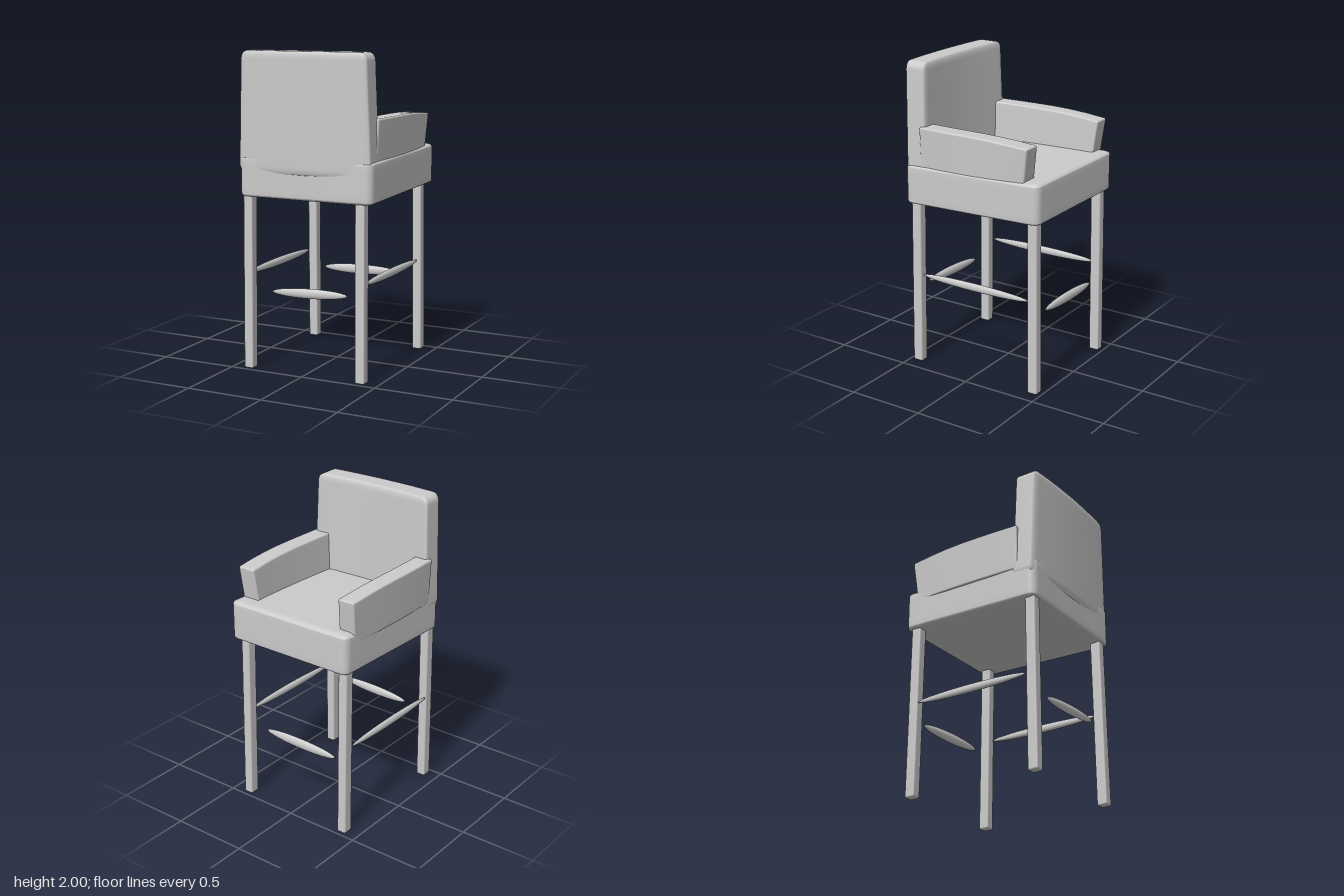
import * as THREE from 'three';
import { mergeVertices } from 'three/addons/utils/BufferGeometryUtils.js';

const material = new THREE.MeshStandardMaterial({ color: 0xcccccc });

// Soft block: [w,h,d] size, [rx,ry,rz] edge rounding, optional warp(p) bending its vertices
function softBlock(name, size, radii, center, warp) {
  const geo = new THREE.BoxGeometry(2, 2, 2, 12, 12, 12);
  geo.deleteAttribute('uv');
  geo.deleteAttribute('normal');
  const pos = geo.attributes.position;
  const p = new THREE.Vector3();
  const off = new THREE.Vector3();
  for (let i = 0; i < pos.count; i++) {
    p.fromBufferAttribute(pos, i);
    const c = p.toArray();
    // the outer half of the grid becomes the rounded edge, the inner half the flat face
    off.fromArray(c.map((t) => Math.sign(t) * Math.max(0, Math.abs(t) - 0.5) * 2)).normalize();
    const o = off.toArray();
    p.fromArray(c.map((t, k) =>
      THREE.MathUtils.clamp(t * 2, -1, 1) * (size[k] / 2 - radii[k]) + o[k] * radii[k] + center[k]));
    if (warp) warp(p);
    pos.setXYZ(i, p.x, p.y, p.z);
  }
  const merged = mergeVertices(geo, 1e-5);
  merged.computeVertexNormals();
  const mesh = new THREE.Mesh(merged, material);
  mesh.name = name;
  return mesh;
}

// Flattened spindle bar
function spindle(name, size, center, tilt = 0) {
  const geo = new THREE.SphereGeometry(0.5, 24, 16);
  geo.scale(...size);
  const mesh = new THREE.Mesh(geo, material);
  mesh.position.set(...center);
  mesh.rotation.z = tilt;
  mesh.name = name;
  return mesh;
}

export function createModel() {
  const chair = new THREE.Group();
  chair.name = 'barChair';

  // Seat cushion, rising slightly away from the backrest
  chair.add(softBlock('seat', [0.905, 0.262, 0.98], [0.05, 0.022, 0.05], [0.007, 1.236, -0.012],
    (p) => { p.y -= 0.013 * p.z / 0.5; }));

  // Backrest: tapers upward, leans and bows outward in the middle
  chair.add(softBlock('backrest', [0.9, 0.75, 0.15], [0.05, 0.05, 0.016], [0, 1.625, 0.395], (p) => {
    const up = (p.y - 1.25) / 0.75;
    p.z += 0.02 * (1 - (p.x / 0.45) ** 2) + 0.012 * up - 0.002;
    p.x *= 1.0 - 0.06 * up;
  }));

  // Armrests: crowned top, bowed outer side, slanted end
  for (const [side, name, inner, end] of [[1, 'leftArm', 0.342, -0.42], [-1, 'rightArm', 0.355, -0.445]]) {
    const back = 0.36;
    const outer = side > 0 ? 0.464 : 0.47;
    chair.add(softBlock(name, [outer - inner, 0.3, back - end], [0.012, 0.012, 0.012],
      [side * (outer + inner) / 2, 1.455, (back + end) / 2], (p) => {
        const t = p.z / 0.42;
        const high = (p.y - 1.305) / 0.3;
        if (p.z < -0.3) p.z += 0.035 * (1 - high);
        p.y -= 0.022 * high * (p.z < 0 ? t * t : 0);
        p.x -= side * (0.012 * t * t + 0.014 * (1 - high));
      }));
  }

  // Four square legs, leaning slightly
  for (const sx of [-1, 1]) {
    for (const sz of [-1, 1]) {
      const name = (sz > 0 ? 'back' : 'front') + (sx > 0 ? 'Left' : 'Right') + 'Leg';
      chair.add(softBlock(name, [0.062, 1.14, 0.068], [0.009, 0.012, 0.009],
        [sx > 0 ? 0.378 : -0.39, 0.57, sz * 0.43], (p) => {
          const down = 1 - p.y / 1.14;
          p.x += sx > 0 ? 0.007 * down : -0.001;
          p.z += sz * 0.012 * down;
        }));
    }
  }

  // Foot bars between the legs
  chair.add(spindle('rightFootBar', [0.035, 0.052, 0.8], [-0.418, 0.605, 0]));
  chair.add(spindle('leftFootBar', [0.035, 0.052, 0.8], [0.387, 0.605, 0]));
  chair.add(spindle('backFootBar', [0.52, 0.062, 0.04], [0.023, 0.515, 0.43], 0.04));
  chair.add(spindle('frontFootBar', [0.55, 0.066, 0.04], [-0.035, 0.499, -0.43], 0.02));

  return chair;
}
